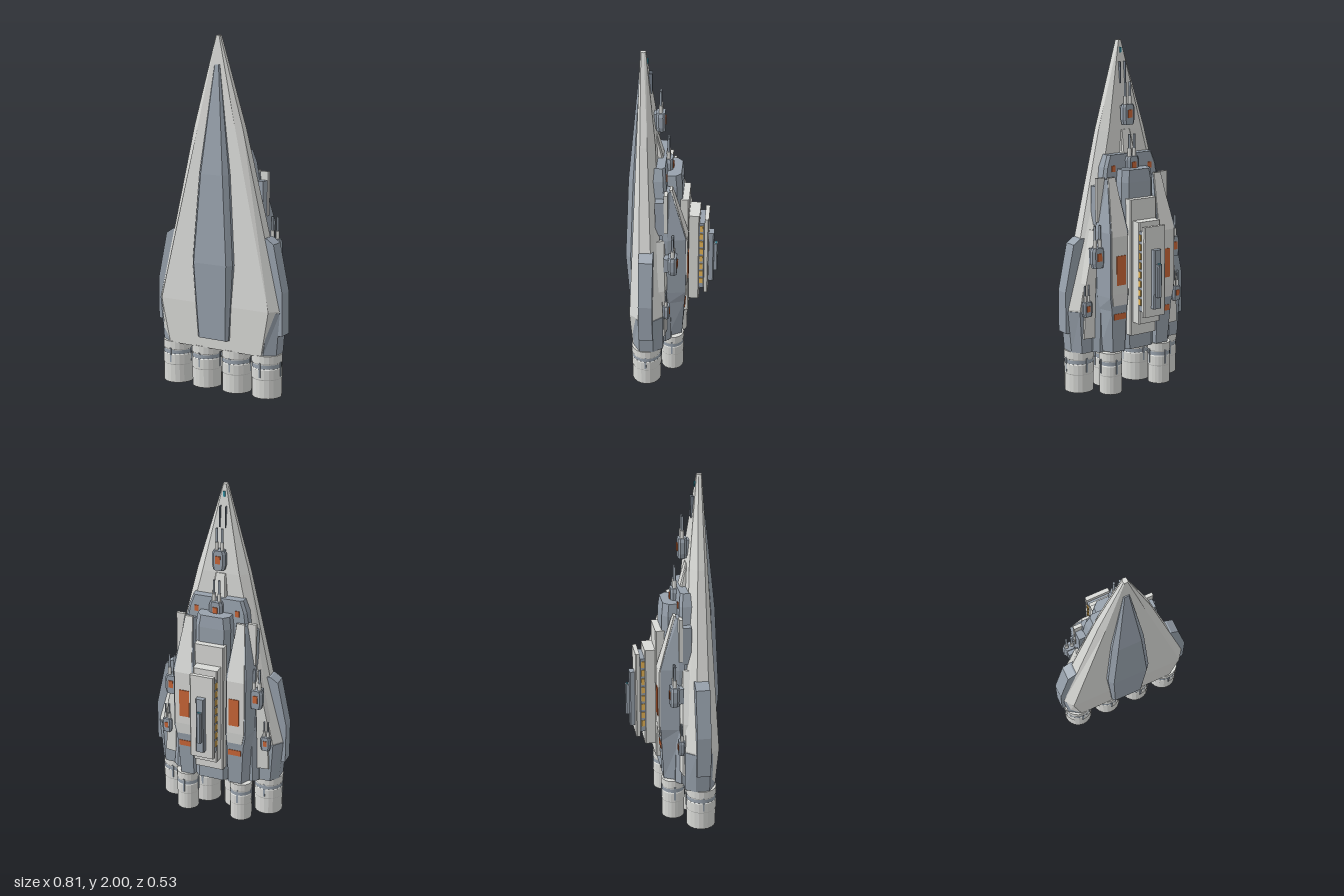
import * as THREE from 'three';

const mat = (name, color, side = THREE.FrontSide) => {
  const m = new THREE.MeshStandardMaterial({ color, side });
  m.name = name;
  return m;
};

export function createModel() {
  const ship = new THREE.Group();
  ship.name = 'starship';
  const light = mat('light grey plating', 0xd9dad7, THREE.DoubleSide);
  const blue = mat('blue grey armour', 0x98a2ad);
  const dark = mat('dark grey trim', 0x737d89);
  const orange = mat('orange marking', 0xca6638);
  const teal = mat('teal glow', 0x3a9db2);
  const yellow = mat('yellow window', 0xf2bf5c);

  const add = (name, geometry, material, parent = ship) => {
    const m = new THREE.Mesh(geometry, material);
    m.name = name;
    parent.add(m);
    return m;
  };
  // Box given by its ranges on each axis
  const box = (name, x0, x1, y0, y1, z0, z1, material, parent) => {
    const g = new THREE.BoxGeometry(Math.abs(x1 - x0), y1 - y0, Math.abs(z1 - z0));
    g.translate((x0 + x1) / 2, (y0 + y1) / 2, (z0 + z1) / 2);
    return add(name, g, material, parent);
  };
  // Faceted loft through rings [y, [[x, z], ...]] listed from bottom to top
  const loft = (rings) => {
    const ref = rings[0][1];
    const area = ref.reduce((s, p, i) => {
      const q = ref[(i + 1) % ref.length];
      return s + p[0] * q[1] - q[0] * p[1];
    }, 0);
    const R = rings.map(([y, pts]) => {
      const v = pts.map(([x, z]) => [x, y, z]);
      return area > 0 ? v.reverse() : v;
    });
    const out = [];
    const tri = (a, b, c) => out.push(...a, ...b, ...c);
    const n = ref.length;
    const mid = (r) => [0, 1, 2].map((k) => r.reduce((s, p) => s + p[k], 0) / n);
    const top = R[R.length - 1];
    for (let i = 0; i < n; i++) {
      const j = (i + 1) % n;
      for (let k = 0; k < R.length - 1; k++) {
        const a = R[k], b = R[k + 1];
        tri(a[i], a[j], b[j]);
        tri(a[i], b[j], b[i]);
      }
      tri(R[0][j], R[0][i], mid(R[0]));
      tri(top[i], top[j], mid(top));
    }
    const g = new THREE.BufferGeometry();
    g.setAttribute('position', new THREE.Float32BufferAttribute(out, 3));
    g.computeVertexNormals();
    return g;
  };
  const sym = (half) => [...half, ...half.slice().reverse().map(([x, z]) => [-x, z])];
  // Block with its rear (-z) corners cut off
  const bevelled = (w, zf, zb, c) => sym([[w, zf], [w, zb + c], [w - c, zb]]);

  // Main wedge hull: y, front width, widest, rear width, then four z levels
  const hullRing = ([y, f, w, b, zf, z1, z2, zb]) => [y, sym([[f, zf], [w, z1], [w, z2], [b, zb]])];
  add('hull', loft([
    [0.24, 0.30, 0.365, 0.33, 0.21, 0.165, 0.085, 0.035],
    [0.5, 0.35, 0.39, 0.345, 0.22, 0.165, 0.085, 0.03],
    [1.5, 0.12, 0.155, 0.11, 0.187, 0.165, 0.125, 0.085],
    [2, 0.008, 0.013, 0.008, 0.17, 0.165, 0.15, 0.14],
  ].map(hullRing)), light);
  add('sternArmour', loft([
    [0.245, sym([[0.31, 0.205], [0.372, 0.165], [0.372, 0.085], [0.335, 0.03]])],
    [0.49, sym([[0.345, 0.212], [0.393, 0.165], [0.393, 0.085], [0.348, 0.028]])],
  ]), blue);

  // Keel on the front: y, crest width, crest z, base width, base z
  add('keel', loft([
    [0.305, 0.085, 0.24, 0.1, 0.225],
    [0.74, 0.105, 0.262, 0.13, 0.232],
    [1.24, 0.07, 0.24, 0.095, 0.212],
    [1.84, 0.012, 0.182, 0.017, 0.176],
  ].map(([y, c, zc, w, zw]) => [y, sym([[c, zc], [w, zw], [w, zw - 0.03]])])), blue);

  // Raised deck and spine on the back
  add('lowerDeck', loft([
    [0.245, bevelled(0.27, 0.1, -0.01, 0.03)],
    [0.7, bevelled(0.25, 0.1, 0.0, 0.03)],
    [1.0, bevelled(0.225, 0.1, 0.01, 0.02)],
    [1.3, bevelled(0.175, 0.1, 0.023, 0.015)],
    [1.37, bevelled(0.15, 0.1, 0.03, 0.015)],
  ]), blue);
  add('deckRamp', loft([
    [1.3, bevelled(0.05, 0.11, 0.03, 0.01)],
    [1.5, bevelled(0.03, 0.11, 0.08, 0.005)],
  ]), light);
  add('spine', loft([
    [0.25, bevelled(0.105, 0.05, -0.07, 0.03)],
    [1.22, bevelled(0.105, 0.05, -0.062, 0.03)],
    [1.29, bevelled(0.095, 0.05, -0.055, 0.03)],
  ]), blue);

  // Stepped command tower
  const tower = new THREE.Group();
  tower.name = 'commandTower';
  ship.add(tower);
  [
    ['towerBase', 0.088, 0.34, 1.13, -0.04, -0.1, light],
    ['towerBlock', 0.073, 0.42, 1.01, -0.1, -0.16, light],
    ['windowDeck', 0.07, 0.5, 0.96, -0.15, -0.19, blue],
    ['towerRoof', 0.073, 0.47, 0.99, -0.188, -0.212, light],
    ['bridge', 0.025, 0.52, 0.86, -0.21, -0.242, blue],
    ['bridgeCap', 0.014, 0.59, 0.78, -0.24, -0.264, blue],
  ].forEach(([name, w, y0, y1, zf, zb, m]) => add(name, loft([
    [y0, bevelled(w, zf, zb, 0.006)],
    [y1, bevelled(w, zf, zb, 0.006)],
  ]), m, tower));
  box('bridgeWindow', -0.009, 0.009, 0.778, 0.784, -0.249, -0.257, teal, tower);

  // Gun turret with twin barrels pointing to the nose
  const turret = (x, y, z, s) => {
    const t = new THREE.Group();
    t.name = 'turret';
    const ring = (k) => sym([[0.024 * k, 0.024], [0.04 * k, 0.01], [0.04 * k, -0.012], [0.026 * k, -0.024]]);
    add('turretBody', loft([[-0.06, ring(0.8)], [-0.03, ring(1)], [0.035, ring(1)], [0.055, ring(0.8)]]), blue, t);
    box('turretMount', -0.025, 0.025, -0.045, 0.045, 0.02, 0.05, blue, t);
    box('turretMarking', -0.014, 0.014, -0.02, 0.025, -0.022, -0.029, orange, t);
    for (const sx of [-1, 1]) {
      const b = add('barrel', new THREE.CylinderGeometry(0.007, 0.007, 0.14, 8), blue, t);
      b.position.set(sx * 0.016, 0.11, 0);
      const c = add('barrelSleeve', new THREE.CylinderGeometry(0.011, 0.011, 0.05, 8), light, t);
      c.position.set(sx * 0.016, 0.075, 0);
    }
    t.position.set(x, y, z);
    t.scale.setScalar(s);
    ship.add(t);
  };
  turret(0, 1.59, 0.062, 1);
  turret(0, 1.3, 0.02, 1);

  // Mirrored parts
  for (const s of [-1, 1]) {
    const side = s > 0 ? 'left' : 'right';
    const pts = [[0.2, 0.9], [0.305, 0.9], [0.35, 0.87], [0.407, 0.6], [0.407, 0.36], [0.2, 0.34]];
    const shape = new THREE.Shape(pts.map(([x, y]) => new THREE.Vector2(s * x, y)));
    add(side + 'SideArmour', new THREE.ExtrudeGeometry(shape, { depth: 0.08, bevelEnabled: false }), blue)
      .position.z = 0.085;

    // Dorsal pods with light roof plates and orange markings
    const pod = (xi, xo, bi, bo, zt) => [[s * bi, 0.04], [s * xi, zt], [s * xo, zt], [s * bo, 0.01], [s * bo, 0.04]];
    add(side + 'Pod', loft([
      [0.25, pod(0.11, 0.19, 0.09, 0.23, -0.07)],
      [0.5, pod(0.105, 0.205, 0.09, 0.235, -0.085)],
      [0.58, pod(0.1, 0.22, 0.09, 0.24, -0.092)],
      [0.95, pod(0.1, 0.22, 0.09, 0.24, -0.092)],
      [1.24, pod(0.13, 0.18, 0.11, 0.19, -0.005)],
    ]), blue);
    const roof = (xi, xo, z) => [[s * xi, z + 0.015], [s * xi, z], [s * xo, z], [s * xo, z + 0.015]];
    add(side + 'PodRoof', loft([
      [0.53, roof(0.112, 0.2, -0.094)],
      [0.6, roof(0.108, 0.213, -0.1)],
      [0.93, roof(0.108, 0.213, -0.1)],
      [1.25, roof(0.133, 0.178, -0.012)],
    ]), light);
    box(side + 'PodMarking', s * 0.122, s * 0.183, 0.65, 0.82, -0.097, -0.104, orange);
    box(side + 'PodStripe', s * 0.112, s * 0.192, 0.445, 0.48, -0.079, -0.087, orange);
    box(side + 'DeckMarking', s * 0.11, s * 0.135, 1.275, 1.31, 0.019, 0.027, orange);

    // Fins, hull plates and small details
    box(side + 'Fin', s * 0.19, s * 0.24, 1.0, 1.25, 0.01, 0.03, light);
    box(side + 'FinRoot', s * 0.17, s * 0.235, 0.98, 1.2, 0.03, 0.08, blue);
    add(side + 'FlankPlate', loft([
      [0.33, [[s * 0.26, 0.06], [s * 0.26, 0.012], [s * 0.325, 0.02], [s * 0.34, 0.06]]],
      [0.65, [[s * 0.25, 0.06], [s * 0.25, 0.012], [s * 0.31, 0.02], [s * 0.325, 0.06]]],
      [0.95, [[s * 0.22, 0.07], [s * 0.22, 0.025], [s * 0.24, 0.03], [s * 0.255, 0.07]]],
    ]), light);
    turret(s * 0.26, 0.81, -0.02, 1);
    turret(s * 0.31, 0.51, 0.013, 0.75);
    for (let i = 0; i < 8; i++) {
      const y = 0.535 + i * 0.053;
      box('towerWindow', s * 0.069, s * 0.0755, y, y + 0.036, -0.161, -0.18, yellow, tower);
    }
    box('noseAntenna', s * 0.015, s * 0.019, 1.76, 1.88, 0.106, 0.13, dark);
  }
  box('noseSensor', -0.006, 0.006, 1.93, 1.96, 0.128, 0.136, teal);

  // Engines: hollow shell, trim band, clips and glowing disc
  const engine = (x, z, r) => {
    const e = new THREE.Group();
    e.name = 'engine';
    const profile = [[0.8, 0.04], [0.84, 0], [0.97, 0], [0.97, 0.105], [1, 0.11], [1, 0.165], [0.96, 0.17],
      [0.96, 0.195], [1, 0.2], [1, 0.245], [0, 0.245]].map(([k, y]) => new THREE.Vector2(k * r, y));
    const shell = new THREE.LatheGeometry(profile, 20).toNonIndexed();
    shell.computeVertexNormals();
    add('engineShell', shell, light, e);
    const band = add('engineBand', new THREE.CylinderGeometry(r * 0.985, r * 0.985, 0.022, 20, 1, true), blue, e);
    band.position.y = 0.182;
    const glow = add('engineGlow', new THREE.CircleGeometry(r * 0.81, 20), teal, e);
    glow.rotation.x = Math.PI / 2;
    glow.position.y = 0.03;
    for (let i = 0; i < 4; i++) {
      const a = (i * Math.PI) / 2;
      const clip = add('engineClip', new THREE.BoxGeometry(0.01, 0.085, 0.01), blue, e);
      clip.position.set(Math.sin(a) * r * 0.96, 0.163, Math.cos(a) * r * 0.96);
      clip.rotation.y = a;
    }
    e.position.set(x, 0, z);
    ship.add(e);
  };
  for (const x of [-0.295, -0.1, 0.1, 0.295]) engine(x, 0.13, 0.087);
  for (const x of [-0.17, 0.17]) engine(x, -0.013, 0.067);

  return ship;
}
